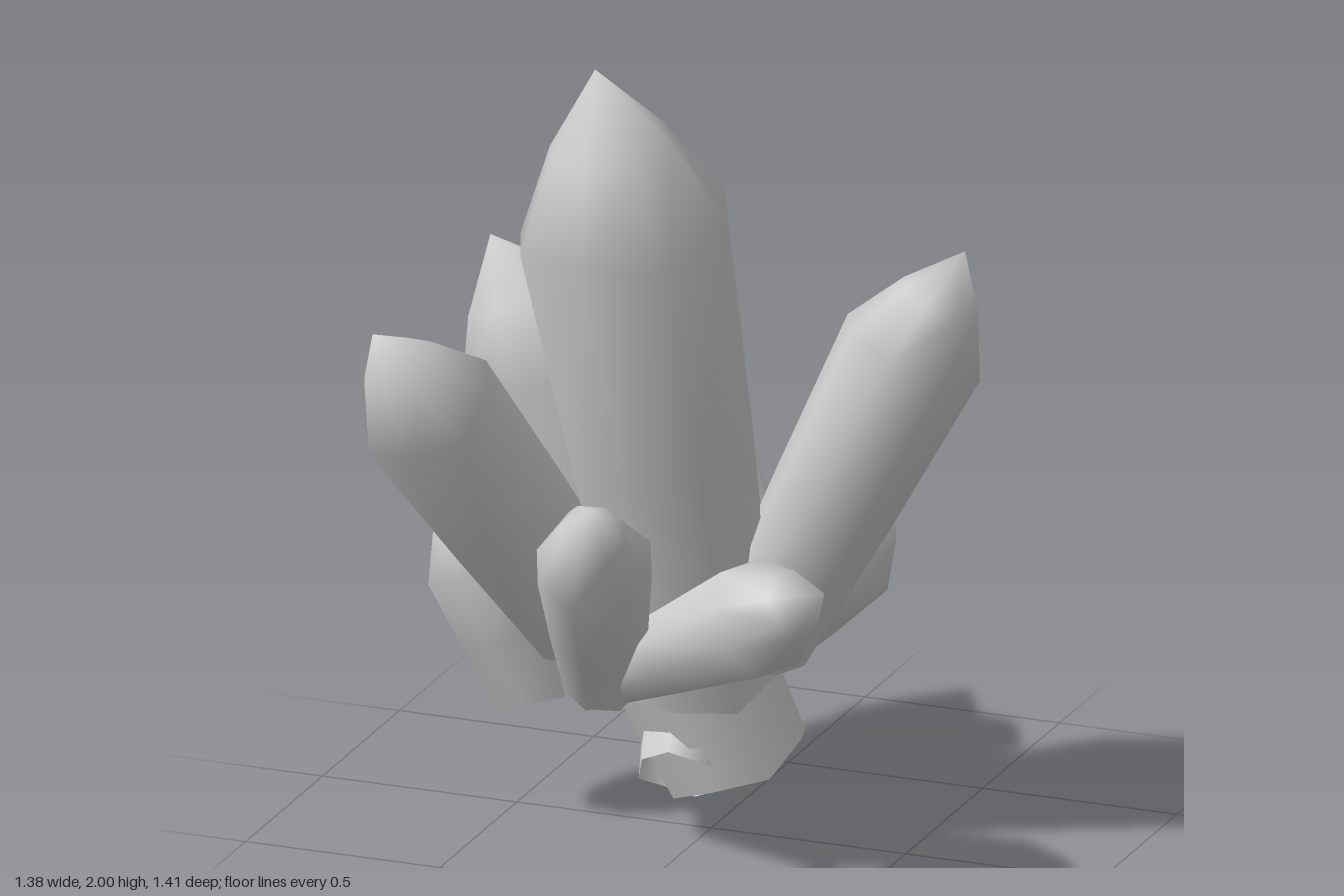
import * as THREE from 'three';

const SIDES = 8;

// Crystal shaft along +y: slightly ragged open foot, flared shoulder, bulging cap, single point.
function crystalGeometry(length, footRadius, shoulderRadius, cap) {
  const rings = [
    { y: 0, r: footRadius, jag: footRadius * 0.1 },
    { y: (length - cap) * 0.5, r: (footRadius + shoulderRadius) * 0.51, jag: 0 },
    { y: length - cap, r: shoulderRadius, jag: cap * 0.08 },
    { y: length - cap * 0.47, r: shoulderRadius * 0.57, jag: cap * 0.04 },
  ];
  const positions = [];
  const index = [];
  rings.forEach((ring, k) => {
    for (let i = 0; i < SIDES; i++) {
      const a = (i / SIDES) * Math.PI * 2;
      const y = ring.y + ring.jag * Math.cos(3 * a + 0.5);
      positions.push(ring.r * Math.cos(a), y, ring.r * Math.sin(a));
      const next = (i + 1) % SIDES;
      const a0 = k * SIDES + i;
      const b0 = k * SIDES + next;
      if (k < rings.length - 1) {
        index.push(a0, a0 + SIDES, b0, b0, a0 + SIDES, b0 + SIDES);
      } else {
        index.push(a0, rings.length * SIDES, b0);
      }
    }
  });
  positions.push(0, length, 0);
  const geometry = new THREE.BufferGeometry();
  geometry.setAttribute('position', new THREE.Float32BufferAttribute(positions, 3));
  geometry.setIndex(index);
  geometry.computeVertexNormals();
  return geometry;
}

// Foot centre, tip, foot and shoulder radius, cap length
const CRYSTALS = [
  { name: 'mainCrystal', foot: [-0.01, 0.38, 0.02], tip: [-0.18, 2, 0.3], r: [0.19, 0.27], cap: 0.42 },
  { name: 'rearRightLeaningCrystal', foot: [-0.015, 0.085, -0.22], tip: [-0.59, 1.41, -0.055], r: [0.185, 0.24], cap: 0.33 },
  { name: 'frontRightLeaningCrystal', foot: [-0.25, 0.54, 0.16], tip: [-0.6, 1.4, 0.685], r: [0.14, 0.18], cap: 0.27 },
  { name: 'leftCrystal', foot: [0.13, 0.5, 0.03], tip: [0.655, 1.55, 0.005], r: [0.13, 0.18], cap: 0.29 },
  { name: 'frontCrystal', foot: [-0.2, 0.42, 0.2], tip: [-0.06, 1.01, 0.635], r: [0.1, 0.148], cap: 0.24 },
  { name: 'frontLeftCrystal', foot: [-0.25, 0.39, 0.18], tip: [0.475, 0.81, 0.465], r: [0.065, 0.145], cap: 0.24 },
  { name: 'rightSmallCrystal', foot: [-0.42, 0.32, 0.04], tip: [-0.63, 0.83, 0.13], r: [0.125, 0.147], cap: 0.2 },
  { name: 'backCrystal', foot: [-0.1, 0.1, -0.06], tip: [-0.22, 0.73, -0.7], r: [0.108, 0.155], cap: 0.24 },
  { name: 'backLeftCrystal', foot: [0.02, 0.41, -0.21], tip: [0.34, 0.79, -0.335], r: [0.11, 0.155], cap: 0.2 },
];

export function createModel() {
  const group = new THREE.Group();
  group.name = 'crystalCluster';
  const material = new THREE.MeshStandardMaterial({ color: 0xcccccc, side: THREE.DoubleSide });
  const up = new THREE.Vector3(0, 1, 0);
  for (const { name, foot, tip, r, cap } of CRYSTALS) {
    const start = new THREE.Vector3(...foot);
    const axis = new THREE.Vector3(...tip).sub(start);
    const mesh = new THREE.Mesh(crystalGeometry(axis.length(), r[0], r[1], cap), material);
    mesh.name = name;
    mesh.position.copy(start);
    mesh.quaternion.setFromUnitVectors(up, axis.normalize());
    group.add(mesh);
  }
  return group;
}
